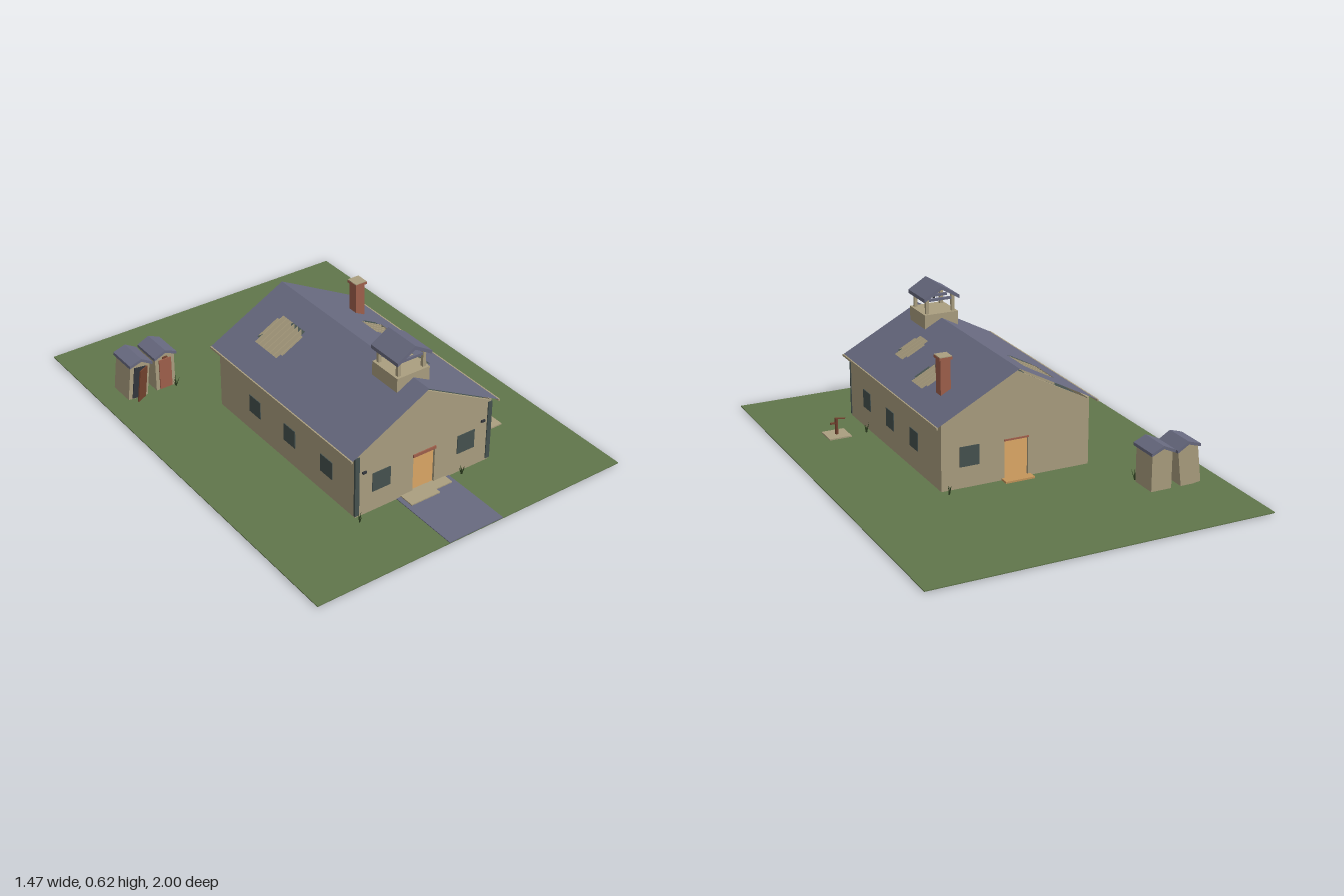
import * as THREE from 'three';

const mat = (name, color) => {
  const m = new THREE.MeshStandardMaterial({ color, side: THREE.DoubleSide });
  m.name = name;
  return m;
};

export function createModel() {
  const M = {
    lawn: mat('lawn green', 0x61764b),
    tan: mat('weathered tan', 0xab9f80),
    slate: mat('roof slate', 0x686a80),
    glass: mat('dark teal', 0x46524f),
    wood: mat('orange wood', 0xc4955a),
    brick: mat('brick red', 0xa0604c),
    rust: mat('dark rust', 0x74432f),
    grass: mat('dark grass', 0x2c3d1f),
    iron: mat('dark iron', 0x33363c),
  };
  const root = new THREE.Group();
  const add = (parent, name, geo, material, x = 0, y = 0, z = 0) => {
    const m = new THREE.Mesh(geo, material);
    m.name = name;
    m.position.set(x, y, z);
    parent.add(m);
    return m;
  };
  // box given by its extents
  const box = (parent, name, material, x0, x1, y0, y1, z0, z1) =>
    add(parent, name, new THREE.BoxGeometry(x1 - x0, y1 - y0, z1 - z0), material,
      (x0 + x1) / 2, (y0 + y1) / 2, (z0 + z1) / 2);
  const group = (name, x = 0, y = 0, z = 0) => {
    const g = new THREE.Group();
    g.name = name;
    g.position.set(x, y, z);
    root.add(g);
    return g;
  };
  const poly = (pts) => new THREE.Shape(pts.map(([x, y]) => new THREE.Vector2(x, y)));
  const extrude = (shape, depth) => new THREE.ExtrudeGeometry(shape, { depth, bevelEnabled: false });

  // ground, path, broken doorstep
  box(root, 'lawn', M.lawn, -0.735, 0.735, 0, 0.004, -1, 1);
  box(root, 'path', M.slate, -0.13, 0.13, 0.003, 0.007, 0.675, 1);
  box(root, 'frontStep', M.tan, -0.11, 0.11, 0.003, 0.012, 0.675, 0.72);
  box(root, 'frontStepEdge', M.tan, -0.11, 0.03, 0.003, 0.012, 0.72, 0.745);
  box(root, 'backStep', M.wood, -0.065, 0.065, 0.003, 0.012, -0.305, -0.265);

  // house shell
  const house = group('house');
  box(house, 'floor', M.wood, -0.329, 0.329, 0.003, 0.01, -0.264, 0.674);
  box(house, 'atticFloor', M.glass, -0.322, 0.322, 0.276, 0.28, -0.255, 0.665);
  const gable = poly([[-0.33, 0.004], [0.33, 0.004], [0.33, 0.285], [0, 0.46], [-0.33, 0.285]]);
  gable.holes.push(poly([[-0.053, 0.01], [0.053, 0.01], [0.053, 0.172], [-0.053, 0.172]]));
  const gableGeo = extrude(gable, 0.01);
  add(house, 'frontWall', gableGeo, M.tan, 0, 0, 0.665);
  add(house, 'backWall', gableGeo, M.tan, 0, 0, -0.265);
  box(house, 'frontLintel', M.brick, -0.055, 0.055, 0.171, 0.184, 0.667, 0.68);
  box(house, 'backLintel', M.brick, -0.055, 0.055, 0.171, 0.178, -0.269, -0.258);

  for (const s of [-1, 1]) {
    box(house, 'sideWall', M.tan, s * 0.325 - 0.005, s * 0.325 + 0.005, 0.004, 0.295, -0.264, 0.674);
    box(house, 'cornerBoard', M.glass, s * 0.323 - 0.01, s * 0.323 + 0.01, 0.012, 0.283, 0.67, 0.679);
    box(house, 'frontWindow', M.glass, s * 0.207 - 0.043, s * 0.207 + 0.043, 0.095, 0.18, 0.67, 0.678);
    box(house, 'wallBracket', M.iron, s * 0.29 - 0.009, s * 0.29 + 0.009, 0.199, 0.208, 0.672, 0.682);
    for (const z of [0.49, 0.24, -0.005])
      box(house, 'sideWindow', M.glass, s * 0.33 - 0.003, s * 0.33 + 0.003, 0.095, 0.175, z - 0.039, z + 0.039);
    box(house, 'eaveStrip', M.tan, s * 0.357 - 0.003, s * 0.357 + 0.003, 0.279, 0.288, -0.29, 0.69);
  }
  box(house, 'backWindow', M.glass, 0.165, 0.25, 0.095, 0.18, -0.268, -0.262);

  // roof slopes with ragged holes that show the rafters
  const RIDGE = 0.475, SLOPE = 0.528;
  const holes = [
    { s: -1, x0: 0.1, x1: 0.24, z0: -0.135, z1: 0.02 },
    { s: 1, x0: 0.17, x1: 0.275, z0: 0.035, z1: 0.14 },
    { s: 1, x0: 0.11, x1: 0.23, z0: 0.335, z1: 0.415 },
  ];
  for (const s of [-1, 1]) {
    const slope = poly([[0, 0.29], [s * 0.36, 0.29], [s * 0.36, -0.69], [0, -0.69]]);
    for (const h of holes.filter((o) => o.s === s)) {
      const a = h.x0 + 0.02, b = h.x1 - 0.02, t = 0.013;
      slope.holes.push(poly([
        [h.x0, h.z0], [a, h.z0], [a, h.z0 - t], [b, h.z0 - t], [b, h.z0], [h.x1, h.z0],
        [h.x1, h.z1], [b, h.z1], [b, h.z1 + t], [a, h.z1 + t], [a, h.z1], [h.x0, h.z1],
      ].map(([x, z]) => [s * x, -z])));
    }
    const geo = new THREE.ShapeGeometry(slope);
    const p = geo.attributes.position;
    for (let i = 0; i < p.count; i++) {
      const x = p.getX(i), z = -p.getY(i);
      p.setXYZ(i, x, RIDGE - SLOPE * Math.abs(x), z);
    }
    geo.computeVertexNormals();
    add(house, 'roofSlope', geo, M.slate);
  }
  for (const h of holes) {
    const n = Math.round((h.z1 - h.z0) / 0.026);
    const y = (x) => RIDGE - SLOPE * x - 0.002;
    const rafter = extrude(poly([
      [h.s * h.x0, y(h.x0)], [h.s * h.x1, y(h.x1)],
      [h.s * h.x1, y(h.x1) - 0.028], [h.s * h.x0, y(h.x0) - 0.028],
    ]), 0.004);
    for (let i = 0; i <= n; i++)
      add(house, 'rafter', rafter, M.tan, 0, 0, h.z0 - 0.002 + ((h.z1 - h.z0) * i) / n);
  }

  // chimney
  const chimney = group('chimney');
  box(chimney, 'stack', M.brick, 0.21, 0.254, 0.33, 0.491, -0.102, -0.056);
  box(chimney, 'cap', M.brick, 0.204, 0.26, 0.489, 0.5, -0.108, -0.05);
  box(chimney, 'capTop', M.tan, 0.205, 0.259, 0.499, 0.503, -0.107, -0.051);

  // little pitched roof: half width, eave height, ridge height, thickness, z extent
  const pitchedRoof = (parent, w, eave, ridge, t, z0, z1) =>
    add(parent, 'smallRoof', extrude(poly([
      [-w, eave], [0, ridge - t], [w, eave], [w, eave + t], [0, ridge], [-w, eave + t],
    ]), z1 - z0), M.slate, 0, 0, z0);

  // belfry
  const belfry = group('belfry', 0, 0, 0.515);
  box(belfry, 'belfryBase', M.tan, -0.078, 0.078, 0.425, 0.496, -0.078, 0.078);
  for (const x of [-0.06, 0.06])
    for (const z of [-0.06, 0.06])
      box(belfry, 'belfryPost', M.tan, x - 0.007, x + 0.007, 0.49, 0.575, z - 0.007, z + 0.007);
  pitchedRoof(belfry, 0.082, 0.553, 0.618, 0.016, -0.084, 0.084);
  for (const z of [-0.06, 0, 0.06])
    box(belfry, 'belfryBeam', M.slate, -0.06, 0.06, 0.549, 0.56, z - 0.005, z + 0.005);
  box(belfry, 'bellHook', M.iron, -0.004, 0.004, 0.538, 0.551, -0.004, 0.004);

  // outhouses
  const outhouse = (name, x, lean) => {
    const g = group(name, x, 0.003, -0.57);
    g.rotation.z = lean;
    const front = poly([[-0.046, 0], [0.046, 0], [0.046, 0.16], [0, 0.182], [-0.046, 0.16]]);
    add(g, 'shed', extrude(front, 0.12), M.tan, 0, 0, -0.06);
    pitchedRoof(g, 0.054, 0.155, 0.192, 0.013, -0.07, 0.07);
    return g;
  };
  const upright = outhouse('uprightOuthouse', -0.455, 0);
  box(upright, 'shedDoor', M.brick, -0.029, 0.029, 0.004, 0.146, 0.058, 0.065);
  box(upright, 'shedVent', M.rust, -0.012, 0.012, 0.149, 0.157, 0.058, 0.064);
  const leaning = outhouse('leaningOuthouse', -0.592, -0.12);
  box(leaning, 'shedOpening', M.iron, -0.028, 0.028, 0.004, 0.15, 0.058, 0.063);
  const hinge = new THREE.Group();
  hinge.name = 'openDoor';
  hinge.position.set(0.03, 0, 0.064);
  hinge.rotation.y = 0.55;
  leaning.add(hinge);
  box(hinge, 'openDoorLeaf', M.rust, -0.062, 0, 0.006, 0.152, 0, 0.005);

  // water pump
  const pump = group('waterPump', 0.478, 0, 0.482);
  box(pump, 'pumpBase', M.tan, -0.05, 0.05, 0.003, 0.01, -0.048, 0.048);
  add(pump, 'pumpPost', new THREE.CylinderGeometry(0.007, 0.008, 0.075, 8), M.rust, 0, 0.045, 0);
  box(pump, 'pumpSpout', M.rust, 0, 0.027, 0.056, 0.063, -0.004, 0.004);
  const handle = box(pump, 'pumpHandle', M.rust, -0.04, 0.004, 0.075, 0.08, -0.003, 0.003);
  handle.rotation.z = 0.12;

  // grass tufts
  const blade = new THREE.ConeGeometry(0.003, 1, 3).translate(0, 0.5, 0);
  [[-0.33, 0.705], [0.178, 0.695], [0.352, 0.455], [0.312, -0.3], [-0.415, -0.495]].forEach(([x, z], k) => {
    const tuft = group('grassTuft', x, 0.003, z);
    for (let i = 0; i < 7; i++) {
      const b = add(tuft, 'blade', blade, M.grass);
      b.scale.y = 0.028 + 0.024 * ((i * 3 + k) % 5) / 4;
      b.rotation.set(0, i * 0.9 + k, 0.12 + 0.12 * (i % 3));
    }
  });
  return root;
}
